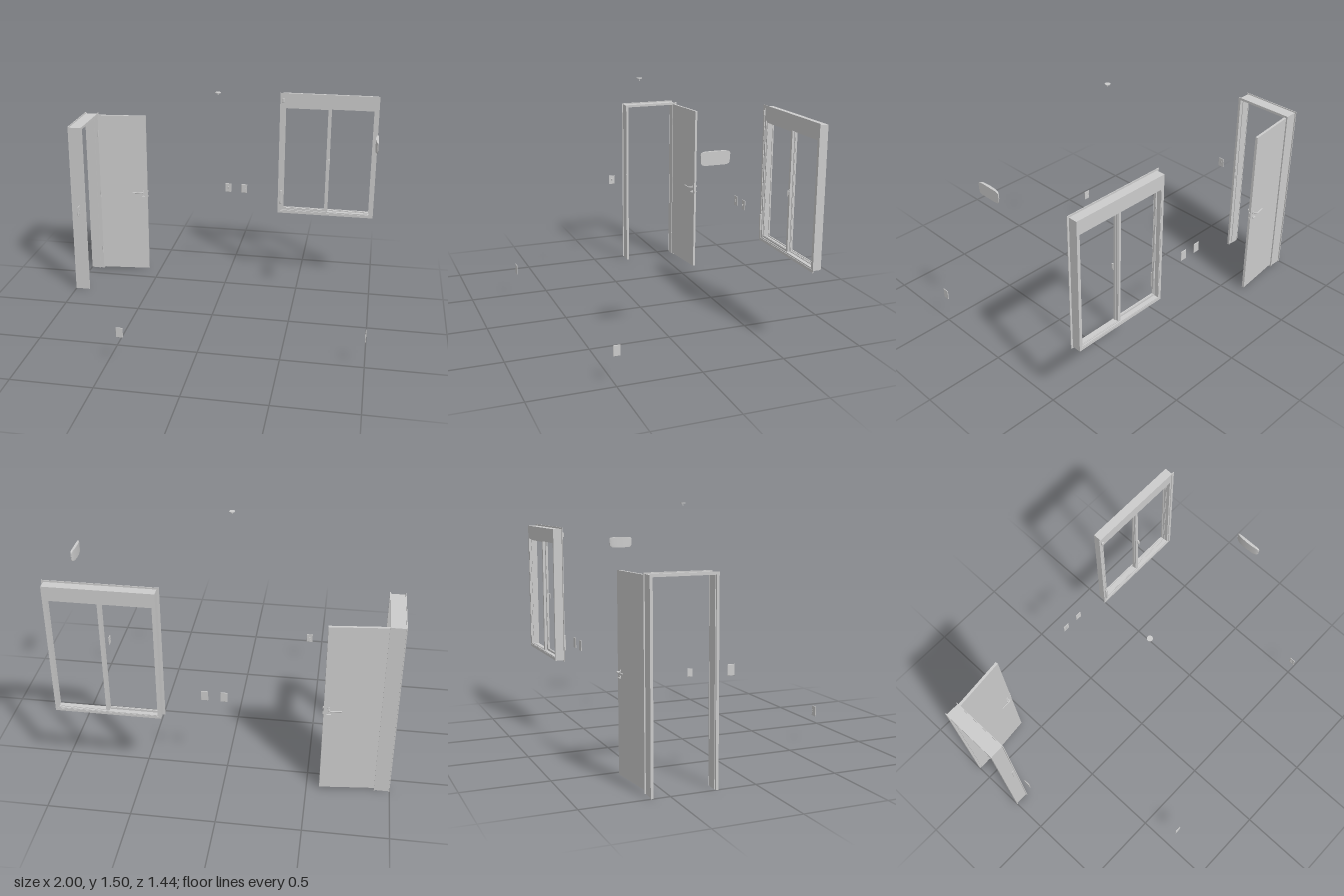
import * as THREE from 'three';
import { RoundedBoxGeometry } from 'three/addons/geometries/RoundedBoxGeometry.js';

const material = new THREE.MeshStandardMaterial({ color: 0xcccccc, side: THREE.DoubleSide });

function add(parent, name, geometry, x = 0, y = 0, z = 0) {
  const mesh = new THREE.Mesh(geometry, material);
  mesh.name = name;
  mesh.position.set(x, y, z);
  parent.add(mesh);
  return mesh;
}

function group(parent, name, x = 0, y = 0, z = 0, turn = 0) {
  const g = new THREE.Group();
  g.name = name;
  g.position.set(x, y, z);
  g.rotation.y = turn;
  parent.add(g);
  return g;
}

// Box given by its lower and upper limits
function box(parent, name, x0, x1, y0, y1, z0, z1) {
  return add(parent, name, new THREE.BoxGeometry(x1 - x0, y1 - y0, z1 - z0),
    (x0 + x1) / 2, (y0 + y1) / 2, (z0 + z1) / 2);
}

// Rod along z
function rod(parent, name, radius, length, x, y, z) {
  return add(parent, name, new THREE.CylinderGeometry(radius, radius, length, 20).rotateX(Math.PI / 2), x, y, z);
}

function rectangle(PathType, x0, x1, y0, y1) {
  const p = new PathType();
  p.moveTo(x0, y0).lineTo(x1, y0).lineTo(x1, y1).lineTo(x0, y1).closePath();
  return p;
}

// Rectangular ring with border width b, from z0 to z1
function ring(parent, name, x0, x1, y0, y1, b, z0, z1) {
  const shape = rectangle(THREE.Shape, x0, x1, y0, y1);
  shape.holes.push(rectangle(THREE.Path, x0 + b, x1 - b, y0 + b, y1 - b));
  return add(parent, name, new THREE.ExtrudeGeometry(shape, { depth: z1 - z0, bevelEnabled: false }), 0, 0, z0);
}

// Three-sided surround: left and right legs plus head, running along x
function surround(parent, name, inset, b, x0, x1) {
  const a = 0.224 + inset, c = 0.61 - inset, top = 1.162 - inset;
  const shape = new THREE.Shape([[a, 0], [a + b, 0], [a + b, top - b], [c - b, top - b],
    [c - b, 0], [c, 0], [c, top], [a, top]].map(([u, v]) => new THREE.Vector2(u, v)));
  const geometry = new THREE.ExtrudeGeometry(shape, { depth: x1 - x0, bevelEnabled: false }).rotateY(Math.PI / 2);
  add(parent, name, geometry, x0, 0, 0);
}

function buildDoor(root) {
  const frame = group(root, 'doorFrame');
  surround(frame, 'outerCasing', 0, 0.016, -1, -0.995);
  surround(frame, 'innerCasing', 0, 0.016, -0.912, -0.907);
  surround(frame, 'lining', 0.007, 0.007, -0.995, -0.912);
  surround(frame, 'doorStop', 0.007, 0.011, -0.985, -0.935);
  box(frame, 'strikePlate', -0.932, -0.918, 0.54, 0.65, -0.24, -0.226);

  // Leaf swings open about its hinge edge
  const door = group(root, 'door', -0.908, 0, -0.593, 0.097);
  box(door, 'doorLeaf', 0, 0.332, 0.015, 1.15, -0.008, 0.008);
  for (const y of [0.15, 0.58, 1.02]) {
    add(door, 'hinge', new THREE.CylinderGeometry(0.004, 0.004, 0.05, 12), -0.002, y, 0.009);
  }
  box(door, 'latch', 0.332, 0.338, 0.6, 0.612, -0.003, 0.003);
  box(door, 'deadbolt', 0.332, 0.337, 0.56, 0.574, -0.003, 0.003);
  for (const s of [-1, 1]) {
    rod(door, 'handleRose', 0.011, 0.004, 0.302, 0.6, s * 0.01);
    rod(door, 'lockRose', 0.011, 0.004, 0.302, 0.566, s * 0.01);
    box(door, 'thumbTurn', 0.29, 0.314, 0.564, 0.568, s * 0.016 - 0.005, s * 0.016 + 0.005);
    const path = new THREE.CatmullRomCurve3([[0.302, 0.6, s * 0.008], [0.302, 0.6, s * 0.024],
      [0.294, 0.6, s * 0.032], [0.265, 0.6, s * 0.031], [0.232, 0.6, s * 0.029]]
      .map(p => new THREE.Vector3(...p)));
    add(door, 'lever', new THREE.TubeGeometry(path, 24, 0.004, 10));
    add(door, 'leverTip', new THREE.SphereGeometry(0.004, 10, 8), 0.232, 0.6, s * 0.029);
  }
}

function buildWindow(root) {
  const w = group(root, 'window');
  ring(w, 'casing', 0.34, 0.995, 0.492, 1.342, 0.017, -0.668, -0.664);
  ring(w, 'outerFrame', 0.353, 0.983, 0.5, 1.265, 0.016, -0.722, -0.668);
  box(w, 'shutterBox', 0.353, 0.983, 1.258, 1.332, -0.722, -0.668);
  ring(w, 'shutterGuide', 0.36, 0.976, 0.507, 1.258, 0.014, -0.72, -0.712);

  // Two sliding sashes, overlapping at the meeting stile
  ring(w, 'frontSash', 0.358, 0.682, 0.508, 1.257, 0.019, -0.688, -0.674);
  ring(w, 'frontSashSeal', 0.375, 0.665, 0.525, 1.24, 0.004, -0.684, -0.678);
  ring(w, 'backSash', 0.663, 0.982, 0.502, 1.255, 0.018, -0.708, -0.692);
  ring(w, 'backSashSeal', 0.679, 0.966, 0.518, 1.239, 0.004, -0.704, -0.697);

  const handle = group(w, 'sashHandle', 0.68, 0.877, -0.672);
  box(handle, 'handlePlate', -0.006, 0.006, -0.02, 0.02, -0.002, 0.003);
  rod(handle, 'handleNeck', 0.004, 0.01, 0, 0.012, 0.006);
  box(handle, 'handleGrip', -0.002, 0.004, -0.018, 0.016, 0.009, 0.014);

  // Shutter strap with its guide and winder
  box(w, 'strap', 0.356, 0.364, 0.6, 1.3, -0.66, -0.659);
  add(w, 'strapGuide', new RoundedBoxGeometry(0.016, 0.03, 0.012, 2, 0.003), 0.36, 1.295, -0.659);
  add(w, 'strapWinder', new RoundedBoxGeometry(0.016, 0.1, 0.012, 2, 0.003), 0.36, 0.61, -0.659);
}

// Wall plate facing local +z, either a rocker switch or a socket
function wallPlate(root, name, isSwitch, x, y, z, turn) {
  const g = group(root, name, x, y, z, turn);
  add(g, 'plate', new RoundedBoxGeometry(0.042, 0.063, 0.005, 2, 0.002), 0, 0, 0.0025);
  if (isSwitch) {
    const rocker = add(g, 'rocker', new THREE.BoxGeometry(0.009, 0.016, 0.004), 0, 0, 0.005);
    rocker.rotation.x = 0.15;
  } else {
    ring(g, 'socketRim', -0.013, 0.013, -0.009, 0.009, 0.002, 0.004, 0.0065);
    for (const s of [-1, 0, 1]) rod(g, 'socketHole', 0.002, 0.002, s * 0.006, s ? -0.001 : 0.002, 0.0052);
  }
}

// Bowed shade, slightly narrower and rounded towards the bottom
function buildWallLamp(root) {
  const g = group(root, 'wallLamp', 1, 1.203, -0.048, -Math.PI / 2);
  const shade = new THREE.BoxGeometry(2, 2, 1, 32, 16, 1);
  const p = shade.attributes.position;
  for (let i = 0; i < p.count; i++) {
    const u = p.getX(i), v = p.getY(i);
    const half = 0.0845 - 0.004 * (1 - v) / 2 - 0.004 * Math.pow(Math.abs(v), 8);
    const tall = 0.0365 - 0.006 * Math.pow(Math.abs(u), 8);
    const depth = 0.003 + 0.014 * Math.sqrt(1 - u * u * 0.98);
    p.setXYZ(i, u * half, v * tall, p.getZ(i) > 0 ? depth : 0);
  }
  shade.computeVertexNormals();
  add(g, 'shade', shade);
  for (const s of [-1, 1]) rod(g, 'fixing', 0.003, 0.006, s * 0.08, 0, 0.004);
}

function buildCeilingFitting(root) {
  const g = group(root, 'ceilingFitting', 0.04, 1.49, 0.022);
  add(g, 'ceilingDisc', new THREE.CylinderGeometry(0.017, 0.017, 0.004, 32), 0, 0.004, 0);
  add(g, 'stem', new THREE.CylinderGeometry(0.002, 0.003, 0.013, 12), 0, -0.005, 0);
}

export function createModel() {
  const root = new THREE.Group();
  root.name = 'roomFittings';
  buildDoor(root);
  buildWindow(root);
  buildWallLamp(root);
  buildCeilingFitting(root);
  wallPlate(root, 'doorSwitch', true, -0.917, 0.624, -0.113, Math.PI / 2);
  wallPlate(root, 'backSwitch', true, -0.008, 0.652, -0.671, 0);
  wallPlate(root, 'backSocket', false, 0.104, 0.652, -0.671, 0);
  wallPlate(root, 'frontSocket', false, -0.42, 0.208, 0.717, Math.PI);
  wallPlate(root, 'sideSocket', false, 1, 0.208, 0.497, -Math.PI / 2);
  return root;
}
